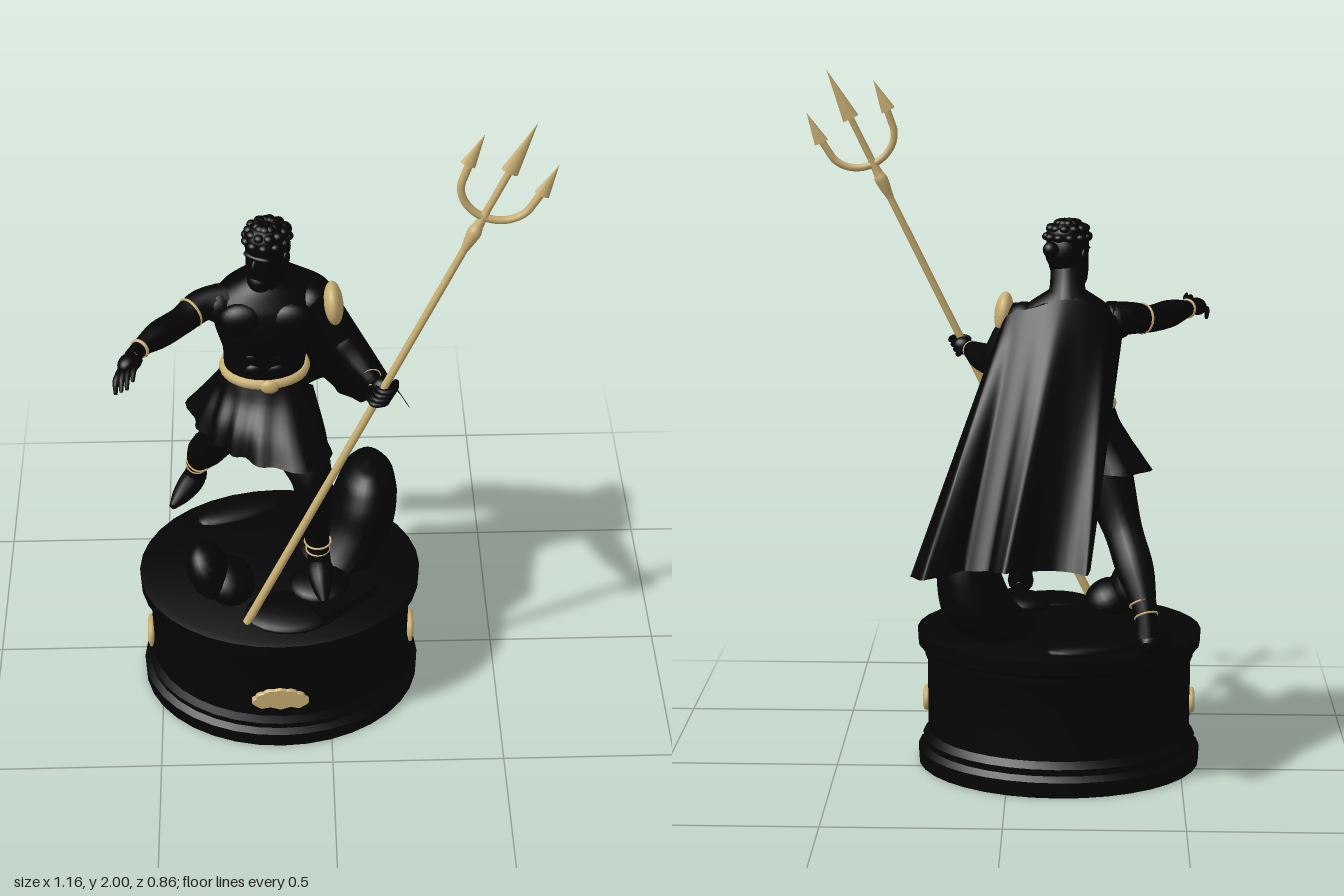
import * as THREE from 'three';
import { toCreasedNormals } from 'three/addons/utils/BufferGeometryUtils.js';

const V = (p) => new THREE.Vector3(...p);

// Quad grid from a point rule, closed around when wrap is true
function grid(rows, cols, wrap, point) {
  const pos = [], idx = [], w = wrap ? cols : cols + 1;
  for (let i = 0; i <= rows; i++) for (let j = 0; j < w; j++) pos.push(...point(i, j));
  for (let i = 0; i < rows; i++) for (let j = 0; j < cols; j++) {
    const a = i * w + j, b = i * w + (j + 1) % w, c = a + w, d = b + w;
    idx.push(a, c, b, b, c, d);
  }
  const g = new THREE.BufferGeometry();
  g.setAttribute('position', new THREE.Float32BufferAttribute(pos, 3));
  g.setIndex(idx);
  g.computeVertexNormals();
  return g;
}

// Stack of level ellipses [x, y, z, rx, rz], bottom to top
function loft(s, n = 28, sub = 4, ripple = () => 1) {
  const a = new THREE.CatmullRomCurve3(s.map((q) => V(q.slice(0, 3))));
  const b = new THREE.CatmullRomCurve3(s.map((q) => new THREE.Vector3(q[3], q[4], 0)));
  const rows = (s.length - 1) * sub;
  return grid(rows, n, true, (i, j) => {
    const t = i / rows, ang = j / n * Math.PI * 2, c = a.getPoint(t), r = b.getPoint(t), k = ripple(ang, t);
    return [c.x + Math.max(r.x, 0) * k * Math.cos(ang), c.y, c.z + Math.max(r.y, 0) * k * Math.sin(ang)];
  });
}

// Round tube along points with a radius at each
function limb(pts, radii, n = 14, sub = 5) {
  const rows = (pts.length - 1) * sub, path = new THREE.CatmullRomCurve3(pts.map(V));
  path.getPointAt = path.getPoint;
  path.getTangentAt = path.getTangent;
  const f = path.computeFrenetFrames(rows), rad = new THREE.CatmullRomCurve3(radii.map((r, i) => new THREE.Vector3(r, i, 0)));
  return grid(rows, n, true, (i, j) => {
    const t = i / rows, ang = j / n * Math.PI * 2, r = Math.max(rad.getPoint(t).x, 0.0005);
    const p = path.getPoint(t).addScaledVector(f.normals[i], r * Math.cos(ang));
    return p.addScaledVector(f.binormals[i], -r * Math.sin(ang)).toArray();
  });
}

export function createModel() {
  const root = new THREE.Group();
  const black = new THREE.MeshStandardMaterial({ color: 0x040404, side: THREE.DoubleSide });
  black.name = 'black';
  const gold = new THREE.MeshStandardMaterial({ color: 0xc8ae72 });
  gold.name = 'gold';
  const add = (name, geo, mat = black, parent = root) => {
    const m = new THREE.Mesh(geo, mat);
    m.name = name;
    parent.add(m);
    return m;
  };
  const ball = (name, p, s, mat = black, rot = [0, 0, 0], parent = root) => {
    const m = add(name, new THREE.SphereGeometry(1, 20, 14), mat, parent);
    m.position.set(...p);
    m.scale.set(...s);
    m.rotation.set(...rot);
    return m;
  };
  const band = (name, p, dir, r, tube = 0.006) => {
    const m = add(name, new THREE.TorusGeometry(r, tube, 8, 24), gold);
    m.position.set(...p);
    m.quaternion.setFromUnitVectors(new THREE.Vector3(0, 0, 1), V(dir).normalize());
    return m;
  };

  // Oval plinth
  const profile = [[0, 0], [0.41, 0], [0.412, 0.045], [0.395, 0.06], [0.398, 0.08], [0.383, 0.1], [0.383, 0.31],
    [0.392, 0.33], [0.392, 0.345], [0.41, 0.36], [0.412, 0.4], [0.39, 0.405], [0.2, 0.425], [0, 0.43]];
  const plinth = add('plinth', toCreasedNormals(new THREE.LatheGeometry(profile.map((p) => new THREE.Vector2(...p)), 36), 0.6));
  plinth.position.set(-0.145, 0, 0.085);
  plinth.scale.z = 0.84;

  // Scallop shell on the plinth front
  const fan = new THREE.Shape();
  fan.moveTo(-0.055, -0.032);
  for (let i = 0; i <= 56; i++) {
    const a = Math.PI * (1 - i / 56), k = 0.94 + 0.06 * Math.abs(Math.sin(i / 56 * Math.PI * 7));
    fan.lineTo(0.082 * k * Math.cos(a), -0.016 + 0.057 * k * Math.sin(a));
  }
  fan.lineTo(0.055, -0.032);
  fan.lineTo(0.03, -0.026);
  fan.lineTo(0, -0.036);
  fan.lineTo(-0.03, -0.026);
  const shell = add('shell', new THREE.ExtrudeGeometry(fan, { depth: 0.022, bevelSize: 0.003, bevelThickness: 0.004, bevelSegments: 1 }), gold);
  shell.position.set(-0.15, 0.17, 0.388);

  // Spiral scrolls on the plinth sides
  for (const s of [-1, 1]) {
    const pts = [[0, 0.146, 0.147]];
    for (let i = 0; i <= 14; i++) {
      const a = Math.PI - i * 0.6, r = 0.047 - i * 0.0025;
      pts.push([0, 0.173 + r * 0.78 * Math.sin(a), 0.098 - r * Math.cos(a)]);
    }
    add(s > 0 ? 'leftScroll' : 'rightScroll', limb(pts, pts.map((_, i) => i === 0 ? 0.005 : 0.01), 8, 3), gold).position.x = -0.145 + s * 0.387;
  }

  // Rocks on the plinth
  add('tallRock', loft([[0.02, 0.41, 0.02, 0.125, 0.14], [0.065, 0.46, -0.01, 0.118, 0.145], [0.095, 0.52, -0.025, 0.104, 0.14], [0.112, 0.59, -0.03, 0.092, 0.13],
    [0.118, 0.65, -0.04, 0.075, 0.108], [0.12, 0.683, -0.045, 0.04, 0.07], [0.12, 0.692, -0.045, 0.001, 0.001]]));
  ball('smallRock', [-0.35, 0.495, 0.2], [0.06, 0.095, 0.085], black, [0, 0, 0.35]);
  ball('smallRockSlope', [-0.29, 0.45, 0.2], [0.075, 0.065, 0.085], black, [0, 0, -0.5]);
  ball('stepStone', [-0.03, 0.44, 0.21], [0.09, 0.03, 0.08]);
  const slab = add('slab', new THREE.BoxGeometry(0.2, 0.04, 0.06));
  slab.position.set(0.04, 0.425, 0.27);
  slab.rotation.y = 0.7;
  ball('frontStone', [-0.12, 0.415, 0.3], [0.13, 0.025, 0.09]);
  ball('backStone', [-0.25, 0.412, -0.16], [0.15, 0.025, 0.055], black, [0, 0.4, 0]);

  // Torso with chest, belly and back muscles
  add('torso', loft([[-0.19, 0.98, 0.0, 0.1, 0.09], [-0.18, 1.08, 0, 0.112, 0.092], [-0.175, 1.16, 0.01, 0.118, 0.09], [-0.17, 1.26, 0.015, 0.148, 0.098],
    [-0.168, 1.32, 0.01, 0.155, 0.092], [-0.165, 1.37, 0.008, 0.105, 0.07], [-0.165, 1.405, 0.012, 0.05, 0.045]]));
  ball('upperBack', [-0.155, 1.3, -0.045], [0.135, 0.08, 0.05]);
  for (const s of [-1, 1]) {
    ball('chest', [-0.168 + s * 0.065, 1.295, 0.075], [0.07, 0.055, 0.038]);
    for (let i = 0; i < 3; i++) ball('abdomen', [-0.175 + s * 0.03, 1.135 + i * 0.042, 0.09], [0.028, 0.02, 0.013]);
    ball('shoulder', [-0.172 + s * 0.128, 1.315, 0.02], [0.055, 0.053, 0.056]);
  }

  // Head turned to its right, with beard, curls and hair knot
  add('neck', limb([[-0.165, 1.36, 0.005], [-0.165, 1.41, 0.02], [-0.165, 1.46, 0.04]], [0.065, 0.05, 0.048]));
  const head = new THREE.Group();
  head.name = 'head';
  head.position.set(-0.165, 0, 0.045);
  head.rotation.y = -0.55;
  root.add(head);
  const onHead = (name, p, s, rot) => ball(name, p, s, black, rot, head);
  add('skull', loft([[0, 1.405, 0.035, 0.012, 0.02], [0, 1.425, 0.023, 0.042, 0.045], [0, 1.46, 0.008, 0.053, 0.06], [0, 1.51, 0.002, 0.057, 0.062],
    [0, 1.56, 0.001, 0.059, 0.064], [0, 1.587, 0, 0.04, 0.046], [0, 1.596, 0, 0.001, 0.001]]), black, head);
  onHead('nose', [0, 1.49, 0.066], [0.009, 0.022, 0.014], [-0.25, 0, 0]);
  onHead('brow', [0, 1.515, 0.052], [0.042, 0.009, 0.016]);
  onHead('beard', [0, 1.432, 0.04], [0.036, 0.034, 0.034]);
  for (let row = 0; row < 3; row++) for (let i = 0; i < 11; i++) {
    const a = i / 11 * Math.PI * 2 + row * 0.3, r = [0.055, 0.046, 0.024][row];
    onHead('hairCurl', [r * Math.cos(a), [1.55, 1.574, 1.587][row], r * Math.sin(a) * 1.06], [0.016, 0.012, 0.016]);
  }
  for (const s of [-1, 1]) onHead('ear', [s * 0.058, 1.5, -0.003], [0.009, 0.02, 0.014]);
  onHead('hairBack', [0, 1.51, -0.035], [0.05, 0.055, 0.033]);
  onHead('hairKnot', [0, 1.522, -0.088], [0.022, 0.022, 0.024]);

  // Pleated kilt, stretched along the stride, with belt and buckle
  add('kilt', loft([[-0.2, 0.905, 0.06, 0.195, 0.195], [-0.195, 0.97, 0.045, 0.165, 0.16], [-0.185, 1.03, 0.015, 0.135, 0.122], [-0.178, 1.09, 0, 0.116, 0.098]],
    72, 4, (a, t) => {
      const p = a - Math.PI / 4, stride = 1 / Math.hypot(Math.cos(p) / 1.28, Math.sin(p) / 0.68);
      return 1 + (1 - t) * (stride - 1 + 0.05 * Math.cos(a * 12));
    }));
  const belt = add('belt', new THREE.TorusGeometry(0.113, 0.015, 10, 40), gold);
  belt.position.set(-0.178, 1.085, 0);
  belt.rotation.x = Math.PI / 2;
  belt.scale.set(1, 0.84, 1.1);
  ball('buckle', [-0.165, 1.085, 0.105], [0.026, 0.021, 0.012], gold);

  // Legs: left one stepping forward, right one trailing
  add('leftLeg', limb([[-0.12, 1.0, 0.02], [-0.085, 0.9, 0.12], [-0.05, 0.82, 0.19], [-0.045, 0.7, 0.18], [-0.035, 0.58, 0.19], [-0.03, 0.5, 0.2]],
    [0.08, 0.08, 0.058, 0.053, 0.033, 0.035]));
  add('leftFoot', limb([[-0.03, 0.5, 0.165], [-0.03, 0.505, 0.21], [-0.025, 0.49, 0.28], [-0.02, 0.49, 0.345]], [0.012, 0.038, 0.028, 0.008]));
  add('rightLeg', limb([[-0.24, 1.0, 0], [-0.275, 0.88, -0.03], [-0.325, 0.74, -0.09], [-0.36, 0.64, -0.165], [-0.388, 0.54, -0.235], [-0.395, 0.47, -0.255]],
    [0.08, 0.08, 0.056, 0.053, 0.032, 0.034]));
  add('rightFoot', limb([[-0.39, 0.455, -0.285], [-0.4, 0.46, -0.255], [-0.435, 0.445, -0.2], [-0.465, 0.435, -0.15]], [0.012, 0.036, 0.03, 0.01]));
  for (const dy of [0, 0.03]) {
    band('leftAnklet', [-0.035, 0.56 + dy, 0.19], [0, 1, 0], 0.033 + dy * 0.15, 0.003);
    band('rightAnklet', [-0.39 + dy * 0.3, 0.53 + dy, -0.24 + dy * 0.7], [0.3, 1, 0.65], 0.032 + dy * 0.15, 0.003);
  }

  // Right arm reaching out, left arm holding the shaft
  add('rightArm', limb([[-0.28, 1.322, 0.015], [-0.345, 1.32, 0.035], [-0.4, 1.31, 0.09], [-0.46, 1.315, 0.16], [-0.51, 1.318, 0.225], [-0.53, 1.318, 0.265]],
    [0.05, 0.046, 0.039, 0.039, 0.024, 0.023]));
  band('rightArmBand', [-0.377, 1.315, 0.062], [-0.7, -0.1, 0.7], 0.041, 0.004);
  band('rightWristBand', [-0.51, 1.318, 0.225], [-0.5, 0, 0.8], 0.024, 0.005);
  ball('rightPalm', [-0.54, 1.315, 0.285], [0.028, 0.024, 0.035], black, [0, -0.4, 0.5]);
  for (let i = 0; i < 4; i++) {
    const x = -0.568 + i * 0.016;
    add('rightFinger', limb([[x + 0.008, 1.303 + i * 0.008, 0.3], [x - 0.003, 1.297 + i * 0.012, 0.34], [x - 0.004, 1.268 + i * 0.018, 0.385 - Math.abs(i - 2) * 0.012]], [0.01, 0.009, 0.005], 8, 4));
  }
  add('rightThumb', limb([[-0.52, 1.322, 0.275], [-0.508, 1.335, 0.3], [-0.512, 1.345, 0.33]], [0.012, 0.009, 0.004], 8, 4));
  add('leftArm', limb([[-0.05, 1.33, 0.025], [-0.002, 1.275, 0.035], [0.045, 1.195, 0.06], [0.082, 1.19, 0.14], [0.115, 1.195, 0.225], [0.122, 1.195, 0.25]],
    [0.05, 0.045, 0.04, 0.039, 0.025, 0.022]));
  band('leftWristBand', [0.112, 1.195, 0.21], [0.2, 0, 0.9], 0.026, 0.002);
  ball('leftPalm', [0.14, 1.2, 0.258], [0.03, 0.026, 0.024]);
  for (let i = 0; i < 4; i++) {
    const y = 1.175 + i * 0.014, x = 0.12 + i * 0.007;
    add('leftFinger', limb([[x + 0.035, y, 0.26], [x + 0.028, y, 0.297], [x - 0.005, y, 0.305], [x - 0.02, y, 0.28]], [0.009, 0.009, 0.008, 0.005], 8, 4));
  }
  ball('shoulderGuard', [0.014, 1.33, 0.05], [0.027, 0.062, 0.06], gold, [0, 0, 0.1]);

  // Cape flowing back from both shoulders
  const top = new THREE.CatmullRomCurve3([[-0.325, 1.32, -0.01], [-0.27, 1.355, -0.06], [-0.165, 1.39, -0.08], [-0.07, 1.365, -0.075], [0.0, 1.34, -0.045], [0.03, 1.28, -0.01]].map(V));
  const hem = new THREE.CatmullRomCurve3([[-0.235, 0.68, -0.31], [-0.225, 0.685, -0.39], [-0.14, 0.69, -0.36], [0.0, 0.7, -0.43], [0.04, 0.69, -0.375],
    [0.11, 0.68, -0.335], [0.215, 0.67, -0.4], [0.258, 0.66, -0.325]].map(V), false, 'catmullrom', 0.2);
  add('cape', grid(16, 56, false, (i, j) => {
    const t = i / 16, p = top.getPoint(j / 56).lerp(hem.getPoint(j / 56), t);
    p.z -= 0.008 * Math.sin(t * Math.PI) + 0.004 * t * Math.sin(j * 0.9);
    return p.toArray();
  }));

  // Trident, built upright and then tilted into the hand
  const trident = new THREE.Group();
  trident.name = 'trident';
  trident.position.set(-0.242, 0.41, 0.335);
  trident.quaternion.setFromUnitVectors(new THREE.Vector3(0, 1, 0), new THREE.Vector3(0.766, 1.59, -0.12).normalize());
  root.add(trident);
  add('shaft', new THREE.CylinderGeometry(0.0095, 0.0125, 1.64, 12), gold, trident).position.y = 0.82;
  add('collar', loft([[0, 1.36, 0, 0.01, 0.01], [0, 1.42, 0, 0.019, 0.019], [0, 1.44, 0, 0.014, 0.014], [0, 1.49, 0, 0.01, 0.01]], 14), gold, trident);
  const arc = [];
  for (let i = 0; i <= 12; i++) arc.push([-0.1 * Math.cos(i / 12 * Math.PI), 1.555 - 0.085 * Math.sin(i / 12 * Math.PI), 0]);
  const fork = [[-0.106, 1.61, 0], ...arc, [0.106, 1.61, 0]];
  add('fork', limb(fork, fork.map(() => 0.0105), 10, 3), gold, trident);
  for (const [x, y, h, r] of [[-0.107, 1.59, 0.095, 0.021], [0, 1.615, 0.155, 0.024], [0.107, 1.59, 0.095, 0.021]]) {
    const tip = add('spearHead', new THREE.ConeGeometry(r, h, 12), gold, trident);
    tip.position.set(x, y + h / 2, 0);
    tip.scale.z = 0.6;
  }
  return root;
}
